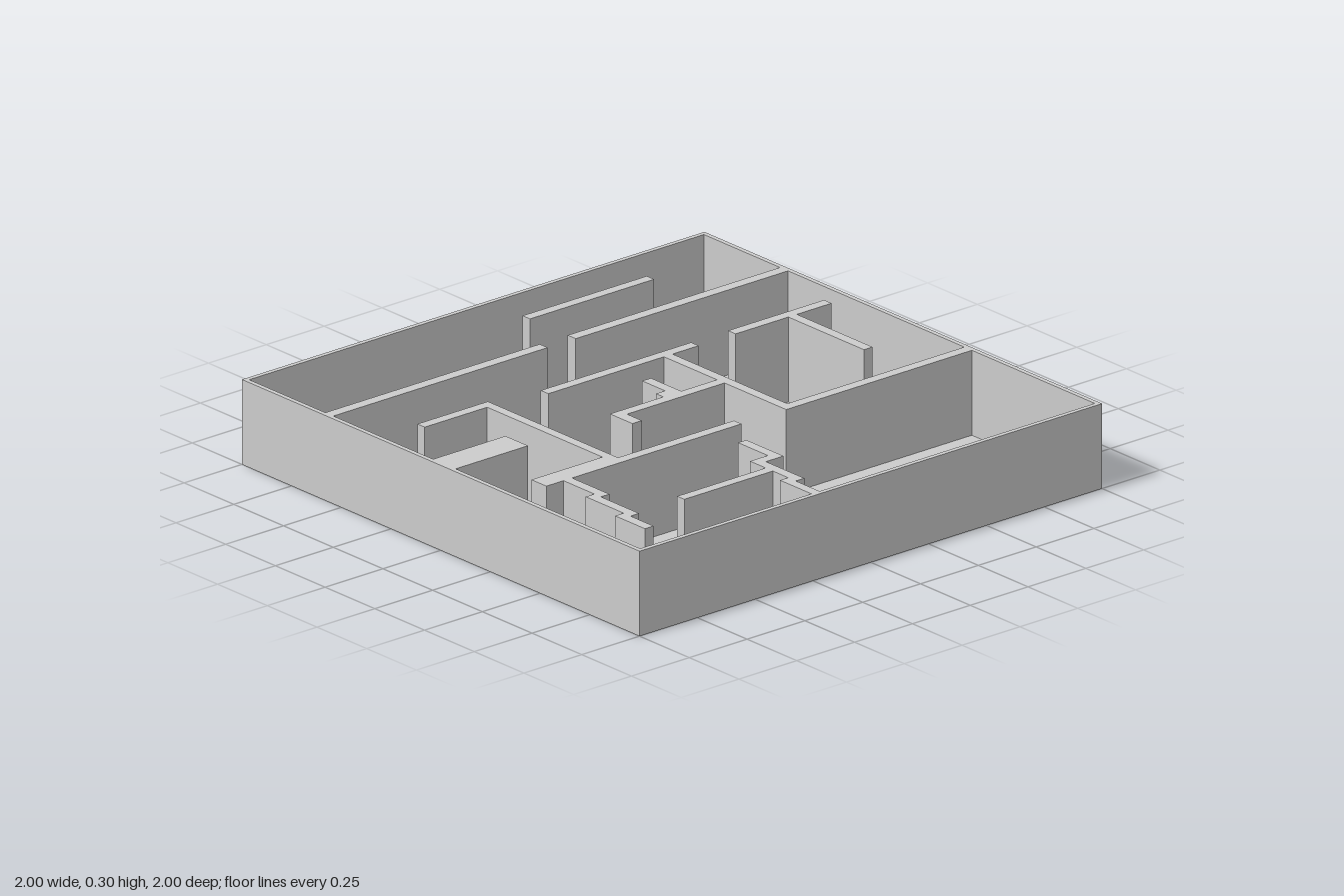
import * as THREE from 'three';

const HEIGHT = 0.3;
const IN = 0.983; // inner face of the outer wall

const material = new THREE.MeshStandardMaterial({ color: 0xcccccc, side: THREE.DoubleSide });

// Plan outlines are [x, z] corners.
const toPoints = (pairs) => pairs.map(([x, z]) => new THREE.Vector2(x, z));
const rect = (x0, z0, x1, z1) => [[x0, z0], [x1, z0], [x1, z1], [x0, z1]];

// Partitions that grow out of the outer wall, each traced from wall back to wall
const backLeftWall = [[-0.6, -IN], [-0.6, -0.065], [-0.56, -0.065], [-0.56, -IN]];

const branchedWall = [
  [0.327, -IN], [0.327, -0.217], [-0.25, -0.217], [-0.25, -0.33], [-0.288, -0.33],
  [-0.288, 0.32], [-0.25, 0.32], [-0.25, -0.18], [0.017, -0.18], [0.017, -0.025],
  [-0.135, -0.025], [-0.135, 0.013], [-0.02, 0.013], [-0.02, 0.052], [0.017, 0.052],
  [0.017, 0.283], [0.13, 0.283], [0.13, 0.242], [0.055, 0.242], [0.055, -0.18],
  [0.365, -0.18], [0.365, -IN],
];

const steppedSideWall = [
  [IN, 0.207], [0.863, 0.207], [0.863, 0.17], [0.67, 0.17], [0.67, 0.094],
  [0.483, 0.094], [0.483, 0.13], [0.633, 0.13], [0.633, 0.207], [0.712, 0.207],
  [0.712, 0.59], [0.748, 0.59], [0.748, 0.207], [0.825, 0.207], [0.825, 0.242], [IN, 0.242],
];

const frontBlock = [[0.055, IN], [0.055, 0.67], [-0.058, 0.67], [-0.058, IN]];
const frontLeftWall = [[-0.56, IN], [-0.56, 0.056], [-0.6, 0.056], [-0.6, IN]];

const roomOutline = [
  [-IN, -IN], ...backLeftWall, ...branchedWall,
  [IN, -IN], ...steppedSideWall,
  [IN, IN], ...frontBlock, ...frontLeftWall,
  [-IN, IN],
];

// Partitions that stand free on the floor
const freestanding = {
  sideBarWall: rect(-0.827, -0.602, -0.79, -0.065),
  teeWall: [
    [-0.288, -0.905], [-0.25, -0.905], [-0.25, -0.755], [0.13, -0.755],
    [0.13, -0.718], [-0.25, -0.718], [-0.25, -0.49], [-0.288, -0.49],
  ],
  steppedFrontWall: [
    [0.327, 0.013], [0.365, 0.013], [0.365, 0.746], [0.553, 0.746], [0.553, 0.783],
    [0.745, 0.783], [0.745, 0.82], [0.861, 0.82], [0.861, 0.857], [0.711, 0.857],
    [0.711, 0.82], [0.52, 0.82], [0.52, 0.783], [0.365, 0.783], [0.365, 0.857],
    [0.29, 0.857], [0.29, 0.55], [-0.29, 0.55], [-0.29, 0.82], [-0.327, 0.82],
    [-0.327, 0.515], [0.327, 0.515],
  ],
};

function planShape(outline, holes = []) {
  const shape = new THREE.Shape(toPoints(outline));
  shape.holes = holes.map((hole) => new THREE.Path(toPoints(hole)));
  return shape;
}

// Raises a plan to wall height; walls are hollow shells, so the lower lid is dropped
function wallGeometry(shape) {
  const solid = new THREE.ExtrudeGeometry(shape, { depth: HEIGHT, bevelEnabled: false });
  const lids = solid.groups[0].count;
  const shell = new THREE.BufferGeometry();
  for (const name of ['position', 'normal']) {
    const data = solid.attributes[name].array;
    const kept = [...data.slice(0, lids * 1.5), ...data.slice(lids * 3)];
    shell.setAttribute(name, new THREE.Float32BufferAttribute(kept, 3));
  }
  return shell.rotateX(Math.PI / 2).translate(0, HEIGHT, 0);
}

export function createModel() {
  const group = new THREE.Group();
  group.name = 'walledFloorPlan';

  const add = (name, geometry) => {
    const mesh = new THREE.Mesh(geometry, material);
    mesh.name = name;
    group.add(mesh);
  };

  // Outer wall with the partitions joined to it
  add('outerWall', wallGeometry(planShape(rect(-1, -1, 1, 1), [roomOutline])));

  // Freestanding partitions
  for (const [name, outline] of Object.entries(freestanding)) {
    add(name, wallGeometry(planShape(outline)));
  }

  // Thin floor, open beneath the hollow walls
  const floor = new THREE.ShapeGeometry(planShape(roomOutline, Object.values(freestanding)));
  add('floor', floor.rotateX(Math.PI / 2));

  return group;
}
